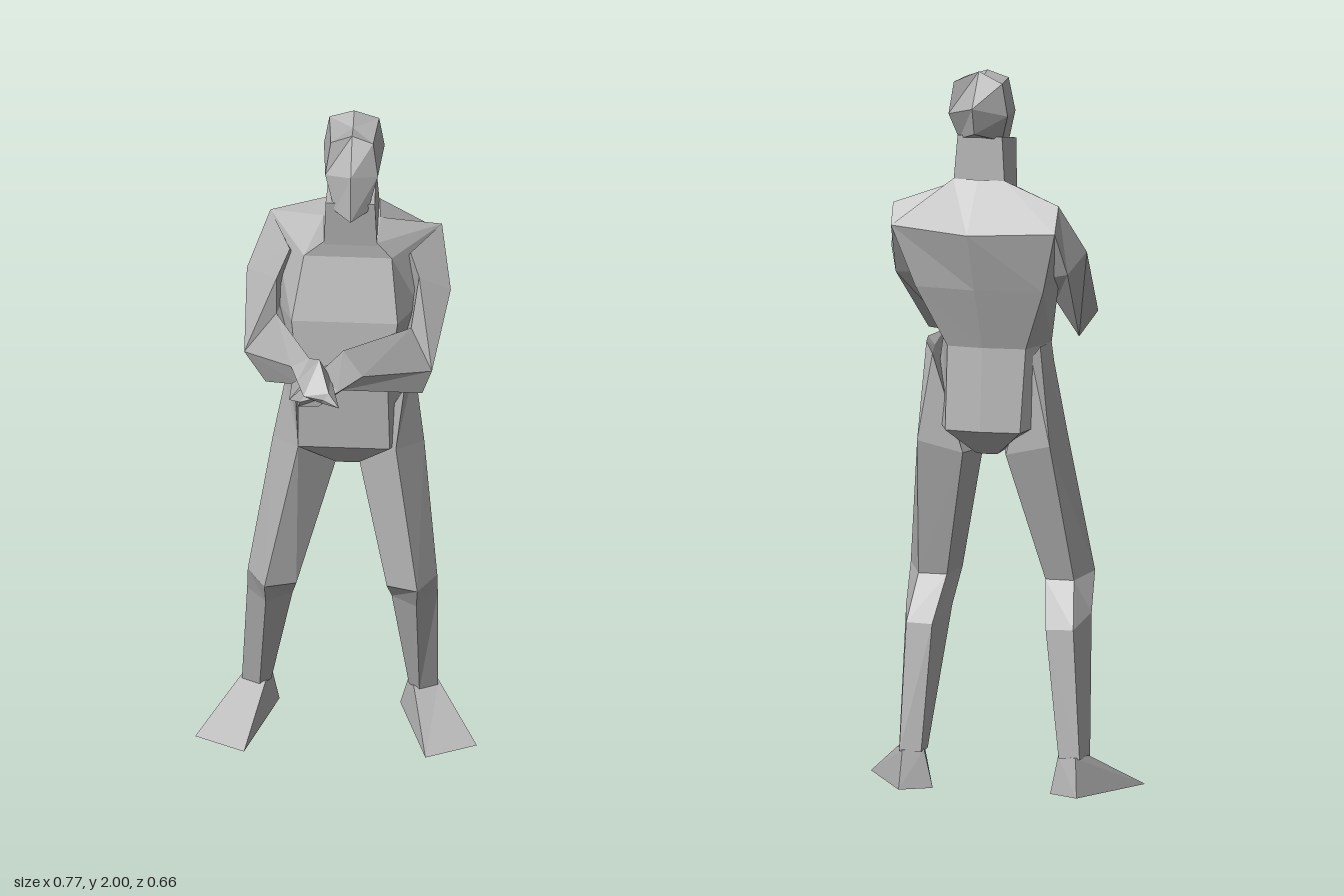
import * as THREE from 'three';

const skin = new THREE.MeshStandardMaterial({ color: 0xb2b2b2, flatShading: true });
skin.name = 'plain grey';

// Closed faceted skin over a list of rings (each ring: same count of [x,y,z]).
function loft(name, rings) {
  const tris = [];
  const n = rings[0].length;
  for (let r = 0; r + 1 < rings.length; r++) {
    for (let i = 0; i < n; i++) {
      const j = (i + 1) % n;
      const a = rings[r][i], b = rings[r][j], c = rings[r + 1][j], d = rings[r + 1][i];
      tris.push([a, b, c], [a, c, d]);
    }
  }
  const cap = (ring, flip) => {
    const mid = [0, 1, 2].map(k => ring.reduce((s, p) => s + p[k], 0) / n);
    ring.forEach((p, i) => {
      const q = ring[(i + 1) % n];
      tris.push(flip ? [mid, q, p] : [mid, p, q]);
    });
  };
  cap(rings[0], true);
  cap(rings[rings.length - 1], false);

  // Turn all faces outward using the signed volume
  const origin = new THREE.Vector3(...rings[0][0]);
  const vec = p => new THREE.Vector3(...p).sub(origin);
  const volume = tris.reduce((s, [a, b, c]) => s + vec(a).dot(vec(b).cross(vec(c))), 0);
  const out = volume < 0 ? tris.map(([a, b, c]) => [a, c, b]) : tris;

  const geo = new THREE.BufferGeometry();
  geo.setAttribute('position', new THREE.Float32BufferAttribute(out.flat(2), 3));
  geo.computeVertexNormals();
  const mesh = new THREE.Mesh(geo, skin);
  mesh.name = name;
  return mesh;
}

// Legs mirror about a body line that leans slightly to the left with height
const mirror = rings => rings.map(r => r.map(([x, y, z]) => [-x + 0.065 * y, y, z]));

// Head ring symmetric about x = 0.04: front, side front, side back, back
function headRing(f, s, b, k) {
  const m = ([x, y, z]) => [0.08 - x, y, z];
  return [[0.04, ...f], s, b, [0.04, ...k], m(b), m(s)];
}

export function createModel() {
  const body = new THREE.Group();
  body.name = 'standingFigure';

  // Head and neck
  body.add(loft('head', [
    headRing([1.755, -0.045], [0.085, 1.765, -0.085], [0.1, 1.805, -0.21], [1.835, -0.285]),
    headRing([1.89, -0.065], [0.112, 1.87, -0.105], [0.123, 1.88, -0.24], [1.91, -0.31]),
    headRing([1.985, -0.13], [0.098, 1.965, -0.125], [0.108, 1.97, -0.24], [2.0, -0.23]),
  ]));
  body.add(loft('neck', [
    [[-0.035, 1.64, -0.1], [0.11, 1.64, -0.1], [0.11, 1.68, -0.24], [-0.035, 1.68, -0.24]],
    [[-0.03, 1.79, -0.085], [0.105, 1.79, -0.085], [0.1, 1.82, -0.23], [-0.025, 1.82, -0.23]],
  ]));

  // Torso rings: front R, front L, side L, back L, back centre, back R, side R
  body.add(loft('torso', [
    [[-0.035, 1.65, -0.1], [0.11, 1.65, -0.1], [0.115, 1.68, -0.18], [0.11, 1.7, -0.24],
      [0.04, 1.7, -0.245], [-0.035, 1.7, -0.24], [-0.04, 1.68, -0.18]],
    [[-0.09, 1.6, -0.1], [0.15, 1.6, -0.1], [0.28, 1.625, -0.235], [0.275, 1.57, -0.28],
      [0.05, 1.56, -0.33], [-0.19, 1.57, -0.3], [-0.19, 1.64, -0.255]],
    [[-0.12, 1.43, -0.03], [0.17, 1.43, -0.03], [0.22, 1.42, -0.14], [0.21, 1.4, -0.265],
      [0.04, 1.4, -0.285], [-0.15, 1.4, -0.27], [-0.165, 1.42, -0.14]],
    [[-0.1, 1.23, 0], [0.145, 1.23, 0], [0.17, 1.23, -0.11], [0.13, 1.23, -0.225],
      [0.03, 1.23, -0.235], [-0.09, 1.23, -0.225], [-0.135, 1.23, -0.11]],
    [[-0.1, 1.03, 0], [0.15, 1.03, 0], [0.2, 1.02, -0.1], [0.13, 1.0, -0.25],
      [0.03, 1.0, -0.26], [-0.08, 1.0, -0.25], [-0.16, 1.02, -0.1]],
    [[0, 0.925, -0.08], [0.06, 0.925, -0.08], [0.065, 0.925, -0.12], [0.06, 0.925, -0.18],
      [0.03, 0.925, -0.185], [0, 0.925, -0.18], [-0.005, 0.925, -0.12]],
  ]));

  // Leg rings: front, inner, back inner, back outer, outer
  const leg = [
    [[-0.11, 1.23, -0.01], [-0.1, 1.15, -0.1], [-0.1, 1.2, -0.2], [-0.12, 1.23, -0.18], [-0.132, 1.23, -0.11]],
    [[-0.1, 1.03, 0], [0, 0.925, -0.1], [-0.03, 0.93, -0.21], [-0.155, 0.96, -0.215], [-0.175, 0.99, -0.1]],
    [[-0.19, 0.585, 0.045], [-0.105, 0.57, 0], [-0.12, 0.57, -0.12], [-0.2, 0.57, -0.12], [-0.24, 0.585, -0.04]],
    [[-0.19, 0.49, -0.02], [-0.12, 0.48, -0.08], [-0.145, 0.45, -0.22], [-0.22, 0.45, -0.21], [-0.245, 0.48, -0.1]],
    [[-0.215, 0.1, -0.175], [-0.185, 0.1, -0.2], [-0.19, 0.1, -0.255], [-0.25, 0.1, -0.26], [-0.265, 0.1, -0.2]],
  ];
  // Wedge foot, toes turned out
  const foot = [
    [[-0.265, 0.105, -0.215], [-0.2, 0.105, -0.175], [-0.185, 0.105, -0.24], [-0.24, 0.105, -0.265]],
    [[-0.385, 0, -0.06], [-0.248, 0, 0.005], [-0.165, 0, -0.25], [-0.25, 0, -0.295]],
  ];
  body.add(loft('rightLeg', leg), loft('leftLeg', mirror(leg)));
  body.add(loft('rightFoot', foot), loft('leftFoot', mirror(foot)));

  // Arm rings: outer, back or bottom, inner, front or top
  const rightElbow = [[-0.25, 1.31, -0.045], [-0.19, 1.23, -0.02], [-0.13, 1.33, -0.04], [-0.165, 1.41, -0.09]];
  const rightWrist = [[-0.11, 1.42, 0.17], [-0.085, 1.36, 0.17], [-0.045, 1.4, 0.14], [-0.06, 1.45, 0.17]];
  body.add(loft('rightUpperArm', [
    [[-0.19, 1.64, -0.255], [-0.19, 1.57, -0.3], [-0.1, 1.5, -0.2], [-0.13, 1.6, -0.13]],
    [[-0.25, 1.5, -0.175], [-0.215, 1.45, -0.255], [-0.14, 1.42, -0.17], [-0.165, 1.52, -0.1]],
    rightElbow,
  ]));
  body.add(loft('rightForearm', [rightElbow, rightWrist]));
  body.add(loft('rightHand', [
    rightWrist,
    [[-0.09, 1.41, 0.225], [-0.05, 1.37, 0.22], [0, 1.4, 0.19], [-0.03, 1.475, 0.21]],
    [[-0.07, 1.4, 0.28], [-0.02, 1.375, 0.275], [0.03, 1.4, 0.33], [0, 1.42, 0.29]],
  ]));

  const leftElbow = [[0.265, 1.29, -0.01], [0.24, 1.23, 0.01], [0.17, 1.23, -0.02], [0.205, 1.39, -0.07]];
  const leftWrist = [[0.085, 1.39, 0.165], [0.03, 1.36, 0.19], [0.02, 1.4, 0.11], [0.03, 1.45, 0.13]];
  body.add(loft('leftUpperArm', [
    [[0.28, 1.625, -0.235], [0.275, 1.57, -0.28], [0.17, 1.5, -0.2], [0.2, 1.6, -0.13]],
    [[0.31, 1.48, -0.13], [0.275, 1.43, -0.225], [0.2, 1.42, -0.17], [0.225, 1.54, -0.1]],
    leftElbow,
  ]));
  body.add(loft('leftForearm', [leftElbow, leftWrist]));
  body.add(loft('leftHand', [
    leftWrist,
    [[0.02, 1.38, 0.23], [-0.03, 1.34, 0.24], [-0.045, 1.4, 0.15], [-0.02, 1.43, 0.19]],
    [[-0.08, 1.37, 0.265], [-0.085, 1.345, 0.25], [-0.105, 1.4, 0.22], [-0.11, 1.38, 0.27]],
  ]));

  return body;
}
